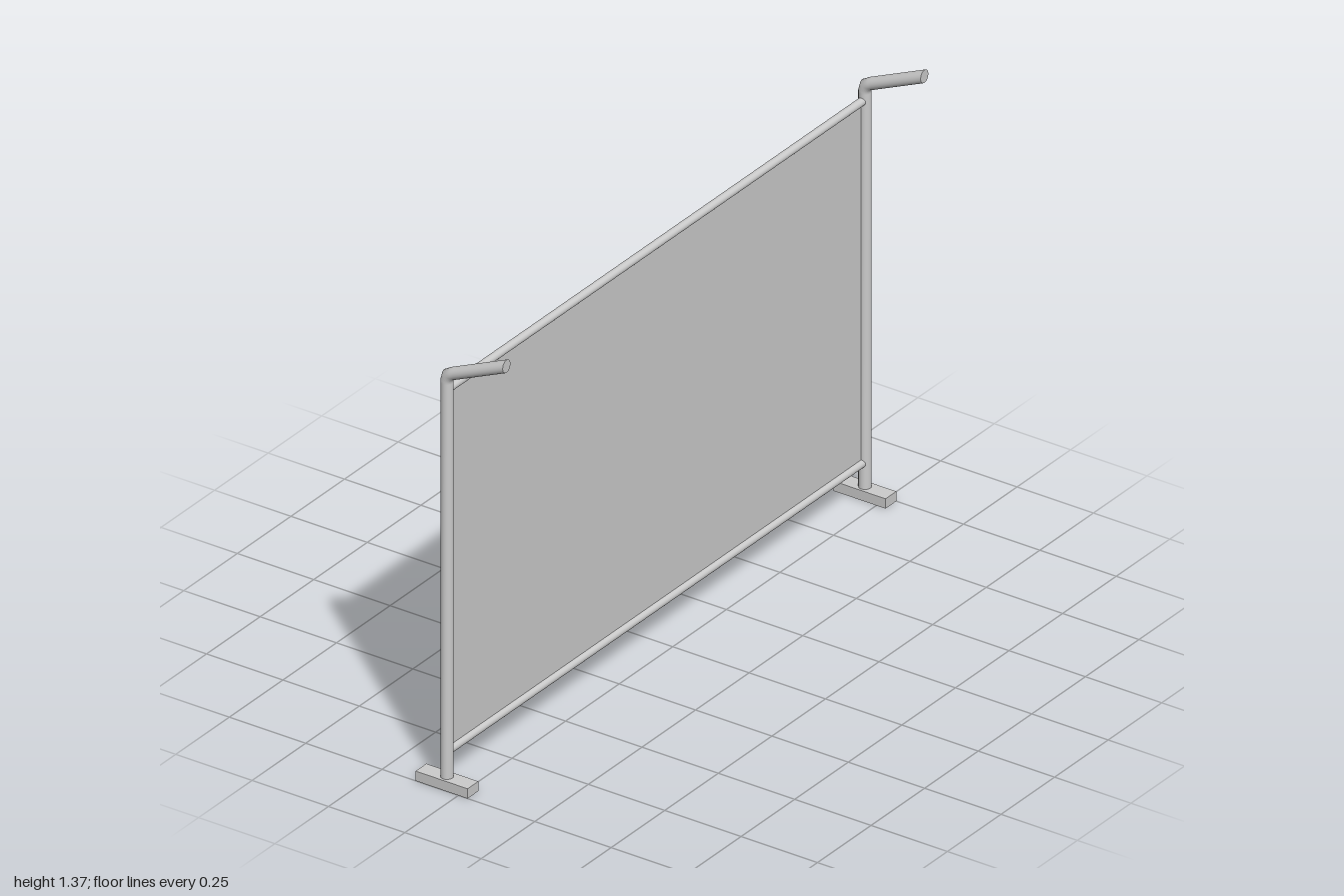
import * as THREE from 'three';

const Z = -0.055;   // plane of posts, rails and panel
const POST_X = 0.975;
const R = 0.018;

// Bent tube from tilted elliptical rings: [y, z, tilt in degrees, stretch]
function bentPost(rings, sides = 24) {
  const pos = [], idx = [];
  for (const [y, z, deg, s] of rings) {
    const a = THREE.MathUtils.degToRad(deg);
    for (let i = 0; i <= sides; i++) {
      const t = (i / sides) * Math.PI * 2;
      const v = Math.cos(t) * R * s;
      pos.push(Math.sin(t) * R, y - v * Math.sin(a), z + v * Math.cos(a));
    }
  }
  const n = sides + 1;
  for (let k = 0; k < rings.length - 1; k++) {
    for (let i = 0; i < sides; i++) {
      const a = k * n + i, b = a + 1, c = a + n, d = c + 1;
      idx.push(a, b, d, a, d, c);
    }
  }
  // End cap with its own vertices
  const [y, z] = rings[rings.length - 1];
  const last = (rings.length - 1) * n, base = pos.length / 3;
  pos.push(0, y, z);
  for (let i = 0; i <= sides; i++) pos.push(...pos.slice((last + i) * 3, (last + i) * 3 + 3));
  for (let i = 0; i < sides; i++) idx.push(base, base + 1 + i, base + 2 + i);
  const g = new THREE.BufferGeometry();
  g.setAttribute('position', new THREE.Float32BufferAttribute(pos, 3));
  g.setIndex(idx);
  g.computeVertexNormals();
  return g;
}

function rect(path, w, h) {
  path.moveTo(-w / 2, -h / 2);
  path.lineTo(w / 2, -h / 2);
  path.lineTo(w / 2, h / 2);
  path.lineTo(-w / 2, h / 2);
  path.closePath();
  return path;
}

export function createModel() {
  const model = new THREE.Group();
  const grey = new THREE.MeshStandardMaterial({ color: 0xcccccc });
  const greySheet = new THREE.MeshStandardMaterial({ color: 0xcccccc, side: THREE.DoubleSide });
  const add = (name, geometry, x, y, z, material = grey) => {
    const mesh = new THREE.Mesh(geometry, material);
    mesh.name = name;
    mesh.position.set(x, y, z);
    model.add(mesh);
    return mesh;
  };

  // Posts leaning forward at the top, with a vertically cut end
  const post = bentPost([
    [0.024, Z, 0, 1],
    [1.24, Z, 0, 1],
    [1.247, Z, 4, 1],
    [1.265, -0.049, 33, 1.05],
    [1.273, -0.033, 66, 1],
    [1.277, -0.024, 66, 1],
    [1.35, 0.14, 90, 1.09],
  ]);

  // Feet: hollow trays open underneath
  const footRim = rect(new THREE.Shape(), 0.05, 0.17);
  footRim.holes.push(rect(new THREE.Path(), 0.026, 0.146));
  const rimGeometry = new THREE.ExtrudeGeometry(footRim, { depth: 0.024, bevelEnabled: false });
  rimGeometry.rotateX(-Math.PI / 2);
  const plateGeometry = new THREE.BoxGeometry(0.05, 0.006, 0.17);

  for (const [side, s] of [['left', 1], ['right', -1]]) {
    add(side + 'Post', post, s * POST_X, 0, 0);
    add(side + 'FootRim', rimGeometry, s * POST_X, 0, Z);
    add(side + 'FootPlate', plateGeometry, s * POST_X, 0.027, Z);
  }

  // Round rails running between the posts
  const rail = new THREE.CylinderGeometry(0.012, 0.012, POST_X * 2 - 0.02, 20);
  rail.rotateZ(Math.PI / 2);
  add('topRail', rail, 0, 1.217, Z);
  add('bottomRail', rail, 0, 0.107, Z);

  // Thin sheet filling the frame
  add('panel', new THREE.PlaneGeometry(1.93, 1.11), 0, 0.662, Z, greySheet);

  return model;
}
